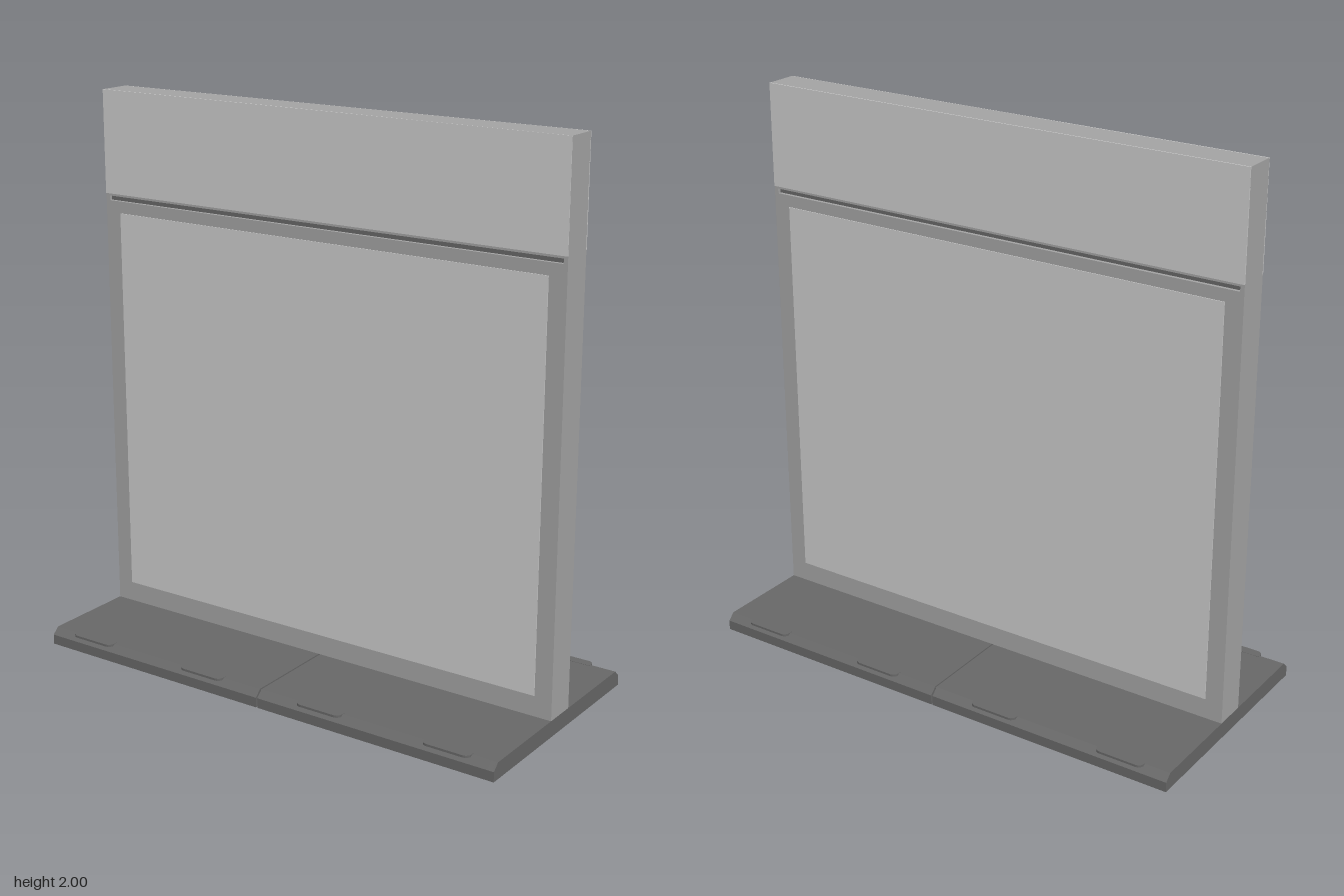
import * as THREE from 'three';

const material = (color) => new THREE.MeshStandardMaterial({ color });

function add(parent, name, geometry, mat, x = 0, y = 0, z = 0) {
  const mesh = new THREE.Mesh(geometry, mat);
  mesh.name = name;
  mesh.position.set(x, y, z);
  parent.add(mesh);
  return mesh;
}

// Rectangle outline, used for the frame and its openings
function rect(path, x0, y0, x1, y1) {
  path.moveTo(x0, y0);
  path.lineTo(x1, y0);
  path.lineTo(x1, y1);
  path.lineTo(x0, y1);
  path.closePath();
  return path;
}

// Extrude a (z, y) profile along x, centred on x = 0
function alongX(points, length) {
  const shape = new THREE.Shape(points.map(([z, y]) => new THREE.Vector2(-z, y)));
  return new THREE.ExtrudeGeometry(shape, { depth: length, bevelEnabled: false })
    .translate(0, 0, -length / 2)
    .rotateY(Math.PI / 2);
}

export function createModel() {
  const root = new THREE.Group();
  root.name = 'freestandingPartition';
  const light = material(0xcccccc);
  const grey = material(0xa4a4a4);
  const dark = material(0x686868);
  const W = 0.935, T = 0.06, floorY = 0.06;

  // Upright wall: frame with a panel opening and a shallow slot below the header
  const wall = new THREE.Group();
  wall.name = 'wall';
  root.add(wall);
  const outline = rect(new THREE.Shape(), -W, floorY, W, 2);
  outline.holes.push(
    rect(new THREE.Path(), -0.87, 0.135, 0.87, 1.56),
    rect(new THREE.Path(), -0.92, 1.603, 0.92, 1.62));
  add(wall, 'frame',
    new THREE.ExtrudeGeometry(outline, { depth: 2 * T, bevelEnabled: false }).translate(0, 0, -T), grey);
  add(wall, 'slotFloor', new THREE.BoxGeometry(1.84, 0.017, 2 * T - 0.025), dark, 0, 1.6115, 0);
  add(wall, 'panel', new THREE.BoxGeometry(1.74, 1.425, 2 * T + 0.006), light, 0, 0.8475, 0);
  for (const s of [1, -1]) {
    add(wall, 'headerFace', new THREE.BoxGeometry(2 * W, 0.372, 0.004), light, 0, 1.814, s * T);
  }

  // Base: two hollow trays side by side with chamfered long edges
  const edge = [[0.435, 0], [0.435, 0.036], [0.41, floorY]];
  const mirrored = edge.map(([z, y]) => [-z, y]).reverse();
  const rail = [...edge, [0.395, floorY], [0.395, 0]];
  const trayLength = W - 0.003;
  for (const side of [1, -1]) {
    const tray = new THREE.Group();
    tray.name = side > 0 ? 'leftTray' : 'rightTray';
    tray.position.x = side * (0.003 + trayLength / 2);
    root.add(tray);
    add(tray, 'deck', new THREE.BoxGeometry(trayLength, 0.012, 0.8), dark, 0, floorY - 0.006, 0);
    for (const s of [1, -1]) {
      const rim = add(tray, 'longRim', alongX(rail, trayLength), dark);
      if (s < 0) rim.rotation.y = Math.PI;
      add(tray, 'endRim', alongX([...edge, ...mirrored], 0.025), dark, s * (trayLength / 2 - 0.0125));
    }
  }
  add(root, 'seam', new THREE.BoxGeometry(0.006, 0.045, 0.82), dark, 0, 0.0325, 0);

  // Thin rounded tabs along both long edges
  const tab = new THREE.Shape();
  tab.moveTo(-0.09, 0);
  tab.lineTo(0.09, 0);
  tab.lineTo(0.09, 0.012);
  tab.quadraticCurveTo(0.088, 0.033, 0.07, 0.035);
  tab.lineTo(-0.07, 0.035);
  tab.quadraticCurveTo(-0.088, 0.033, -0.09, 0.012);
  tab.closePath();
  const tabGeometry = new THREE.ExtrudeGeometry(tab, { depth: 0.008, bevelEnabled: false, curveSegments: 4 })
    .rotateX(Math.PI / 2);
  for (const s of [1, -1]) {
    for (const x of [-0.75, -0.25, 0.25, 0.75]) {
      const mesh = add(root, 'edgeTab', tabGeometry, dark, x, floorY + 0.001, s * 0.4);
      if (s < 0) mesh.rotation.y = Math.PI;
    }
  }
  return root;
}
